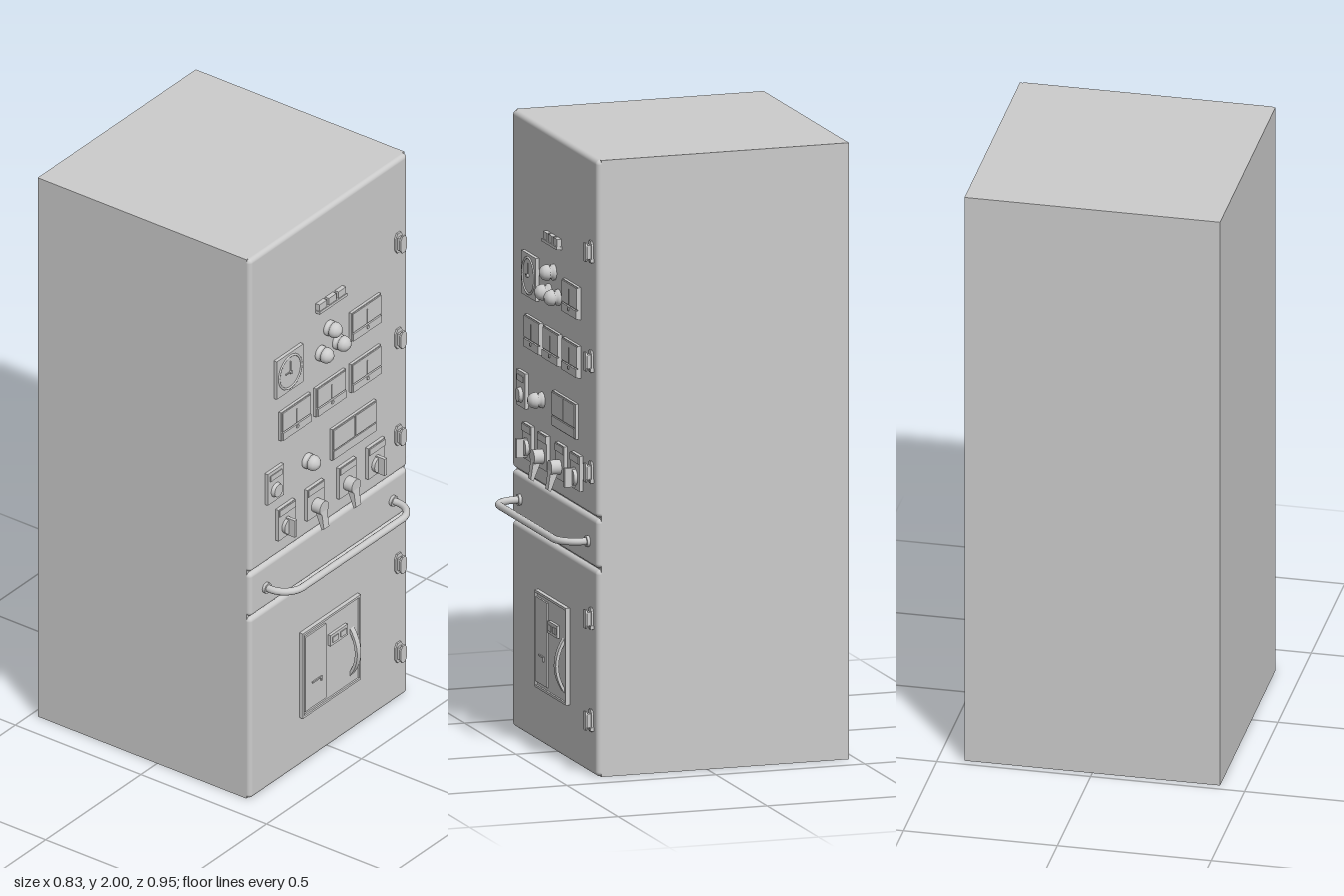
import * as THREE from 'three';
import { RoundedBoxGeometry } from 'three/addons/geometries/RoundedBoxGeometry.js';

const FRONT = 0.37; // front plane of the doors

export function createModel() {
  const model = new THREE.Group();
  const material = new THREE.MeshStandardMaterial({ color: 0xcccccc });

  function add(parent, name, geometry, x, y, z) {
    const mesh = new THREE.Mesh(geometry, material);
    mesh.name = name;
    mesh.position.set(x, y, z);
    parent.add(mesh);
    return mesh;
  }
  // Device group whose local z = 0 lies on the door surface
  function device(name, x, y) {
    const group = new THREE.Group();
    group.name = name;
    group.position.set(x, y, FRONT);
    model.add(group);
    return group;
  }
  // Block and disc that stand from z0 to z1
  const block = (p, name, x, y, w, h, z0, z1) =>
    add(p, name, new THREE.BoxGeometry(w, h, z1 - z0), x, y, (z0 + z1) / 2);
  const disc = (p, name, x, y, r, z0, z1, rTop = r) =>
    add(p, name, new THREE.CylinderGeometry(rTop, r, z1 - z0, 28).rotateX(Math.PI / 2), x, y, (z0 + z1) / 2);
  // Open rectangular rim
  function rim(p, name, w, h, t, z0, z1) {
    for (const s of [-1, 1]) {
      block(p, name, 0, s * (h - t) / 2, w, t, z0, z1);
      block(p, name, s * (w - t) / 2, 0, t, h - 2 * t, z0, z1);
    }
  }

  // Cabinet body and the three rounded front panels
  add(model, 'cabinet', new THREE.BoxGeometry(0.83, 2, 0.83), 0, 1, -0.06);
  const panels = [['lowerDoor', 0, 0.67], ['middlePanel', 0.675, 0.835], ['upperDoor', 0.84, 2]];
  for (const [name, y0, y1] of panels)
    add(model, name, new RoundedBoxGeometry(0.83, y1 - y0, 0.031, 4, 0.015), 0, (y0 + y1) / 2, FRONT - 0.0155);

  // Door latches: octagonal plate, neck and cap
  const octagon = new THREE.Shape([[-0.009, -0.036], [0.009, -0.036], [0.018, -0.022], [0.018, 0.022],
    [0.009, 0.036], [-0.009, 0.036], [-0.018, 0.022], [-0.018, -0.022]].map(([x, y]) => new THREE.Vector2(x, y)));
  const latchPlate = new THREE.ExtrudeGeometry(octagon, { depth: 0.006, bevelEnabled: false });
  for (const y of [1.695, 1.34, 0.98, 0.505, 0.175]) {
    const latch = device('latch', 0.362, y);
    add(latch, 'latchPlate', latchPlate, 0, 0, 0);
    block(latch, 'latchNeck', 0, 0, 0.02, 0.045, 0.006, 0.018);
    add(latch, 'latchCap', latchPlate, 0, 0, 0.018).scale.set(0.85, 0.85, 1);
    block(latch, 'latchTab', 0.018, -0.026, 0.008, 0.012, 0, 0.012);
  }

  // Row of three small signal windows
  const signals = device('signalStrip', 0, 1.66);
  block(signals, 'signalBase', 0, -0.013, 0.145, 0.01, 0, 0.018);
  for (const x of [-0.05, 0, 0.05]) block(signals, 'signalWindow', x, 0.004, 0.04, 0.024, 0, 0.015);

  // Round dial in a square case
  const dial = device('dialGauge', -0.22, 1.5);
  block(dial, 'dialCase', 0, 0, 0.14, 0.14, 0, 0.012);
  add(dial, 'dialRing', new THREE.TorusGeometry(0.058, 0.004, 8, 40), 0, 0, 0.012);
  disc(dial, 'dialHub', 0, 0, 0.006, 0.012, 0.019);
  block(dial, 'dialHand', 0, 0.02, 0.004, 0.04, 0.012, 0.015);
  block(dial, 'dialHand', -0.012, 0, 0.025, 0.004, 0.012, 0.015);

  // Domed lamps
  const lampProfile = [[0.026, 0], [0.026, 0.008], [0.02, 0.01], [0.02, 0.016], [0.026, 0.02], [0.026, 0.028],
    [0.022, 0.039], [0.013, 0.047], [0, 0.05]].map(([r, z]) => new THREE.Vector2(r, z));
  const lampGeometry = new THREE.LatheGeometry(lampProfile, 28).rotateX(Math.PI / 2);
  for (const [x, y] of [[-0.003, 1.555], [-0.047, 1.482], [0.043, 1.482], [-0.117, 1.117]])
    add(model, 'lamp', lampGeometry, x, y, FRONT);

  // Needle meters
  for (const [x, y] of [[0.183, 1.505], [-0.187, 1.315], [-0.003, 1.315], [0.183, 1.315]]) {
    const meter = device('meter', x, y);
    block(meter, 'meterCase', 0, 0, 0.155, 0.105, 0, 0.01);
    block(meter, 'meterGlass', 0, 0.015, 0.149, 0.069, 0.01, 0.014);
    block(meter, 'meterFoot', 0, -0.037, 0.149, 0.027, 0.01, 0.016);
    block(meter, 'meterNeedle', 0, 0.008, 0.003, 0.05, 0.014, 0.016);
    disc(meter, 'meterScrew', 0, -0.032, 0.006, 0.016, 0.019);
  }

  // Wide twin display
  const display = device('twinDisplay', 0.12, 1.117);
  block(display, 'displayCase', 0, 0, 0.23, 0.115, 0, 0.01);
  for (const s of [-1, 1]) block(display, 'displayWindow', s * 0.057, 0.017, 0.109, 0.073, 0.01, 0.014);
  block(display, 'displayFoot', 0, -0.039, 0.223, 0.03, 0.01, 0.014);

  // Key switch
  const keySwitch = device('keySwitch', -0.295, 1.117);
  block(keySwitch, 'keyPlate', 0, 0, 0.085, 0.115, 0, 0.012);
  disc(keySwitch, 'keyBarrel', 0, -0.018, 0.025, 0.012, 0.024, 0.022);
  block(keySwitch, 'keyLabel', 0, 0.035, 0.06, 0.02, 0.012, 0.015);

  // Selector switches with a straight grip
  for (const x of [-0.237, 0.235]) {
    const selector = device('selectorSwitch', x, 0.957);
    block(selector, 'selectorPlate', 0, 0, 0.088, 0.115, 0, 0.012);
    block(selector, 'selectorLabel', 0, 0.043, 0.082, 0.023, 0.012, 0.016);
    disc(selector, 'selectorDisc', 0, -0.018, 0.027, 0.012, 0.024);
    block(selector, 'selectorGrip', 0, -0.018, 0.012, 0.062, 0.012, 0.048);
  }

  // Breaker switches with a hanging pistol grip, drawn in side outline
  const gripOutline = new THREE.Shape([[0.012, 0.012], [0.042, 0.016], [0.055, -0.07], [0.046, -0.076],
    [0.022, -0.018], [0.012, -0.018]].map(([z, y]) => new THREE.Vector2(z, y)));
  const gripGeometry = new THREE.ExtrudeGeometry(gripOutline, { depth: 0.028, bevelEnabled: false })
    .translate(0, 0, -0.014).rotateY(-Math.PI / 2);
  for (const x of [-0.085, 0.083]) {
    const breaker = device('pistolSwitch', x, 0.957);
    block(breaker, 'pistolPlate', 0, 0, 0.088, 0.115, 0, 0.012);
    block(breaker, 'pistolLabel', 0, 0.043, 0.082, 0.023, 0.012, 0.015);
    disc(breaker, 'pistolHub', 0, -0.016, 0.024, 0.012, 0.046);
    add(breaker, 'pistolGrip', gripGeometry, 0, -0.016, 0);
  }

  // Long pull bar with curved ends
  const barPath = new THREE.CurvePath();
  const v = (x, z) => new THREE.Vector3(x, 0.75, z);
  barPath.add(new THREE.LineCurve3(v(-0.333, FRONT - 0.005), v(-0.333, 0.39)));
  barPath.add(new THREE.CubicBezierCurve3(v(-0.333, 0.39), v(-0.333, 0.43), v(-0.3, 0.463), v(-0.26, 0.463)));
  barPath.add(new THREE.LineCurve3(v(-0.26, 0.463), v(0.26, 0.463)));
  barPath.add(new THREE.CubicBezierCurve3(v(0.26, 0.463), v(0.3, 0.463), v(0.333, 0.43), v(0.333, 0.39)));
  barPath.add(new THREE.LineCurve3(v(0.333, 0.39), v(0.333, FRONT - 0.005)));
  add(model, 'pullBar', new THREE.TubeGeometry(barPath, 120, 0.012, 14), 0, 0, 0);
  for (const s of [-1, 1]) disc(model, 'pullBarCollar', s * 0.333, 0.75, 0.018, FRONT, FRONT + 0.01);

  // Main breaker in the lower door
  const main = device('mainBreaker', -0.003, 0.338);
  block(main, 'breakerPlate', 0, 0, 0.305, 0.315, 0, 0.008);
  rim(main, 'breakerRim', 0.305, 0.315, 0.008, 0.008, 0.014);
  block(main, 'breakerCover', -0.085, 0, 0.11, 0.275, 0.008, 0.014);
  block(main, 'coverSlot', -0.08, -0.045, 0.05, 0.005, 0.014, 0.018);
  block(main, 'coverSlot', -0.057, -0.052, 0.005, 0.014, 0.014, 0.018);
  block(main, 'counterCase', 0.033, 0.065, 0.09, 0.04, 0.008, 0.018);
  for (const x of [0.012, 0.054]) block(main, 'counterWindow', x, 0.065, 0.03, 0.02, 0.018, 0.021);

  // Bowed charging lever
  const lever = new THREE.Shape();
  lever.moveTo(0.008, -0.088);
  lever.quadraticCurveTo(0.066, 0, 0.008, 0.088);
  lever.lineTo(0.008, 0.07);
  lever.quadraticCurveTo(0.046, 0, 0.008, -0.07);
  const leverGeometry = new THREE.ExtrudeGeometry(lever, { depth: 0.02, bevelEnabled: false })
    .translate(0, 0, -0.01).rotateY(-Math.PI / 2);
  add(main, 'chargingLever', leverGeometry, 0.113, -0.036, 0);

  return model;
}
